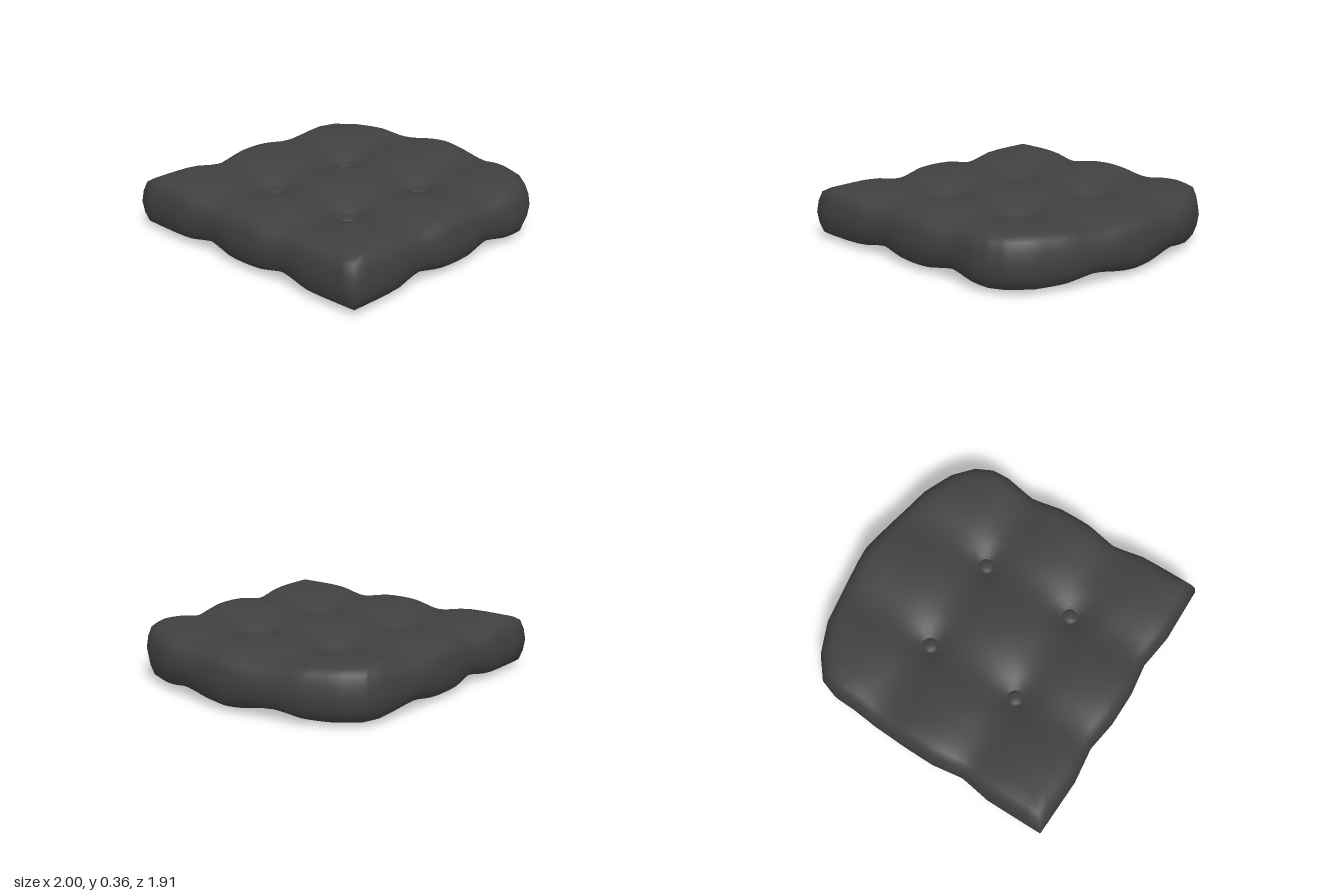
import * as THREE from 'three';

const MID = 0.18;                       // height of the widest line of the cushion
const CENTRE = [-0.05, 0];
const BUTTON_X = [-0.4, 0.25], BUTTON_Z = [-0.33, 0.33];

// Plan outline: straight back edge with square corners, bowed opposite edge, pinched at the tufting lines
const OUTLINE = [
  [-0.99, -0.955], [-0.6, -0.96], [-0.39, -0.93], [-0.18, -0.96], [0.05, -0.96], [0.26, -0.955],
  [0.45, -0.935], [0.59, -0.93], [0.71, -0.89], [0.82, -0.76], [0.91, -0.56], [0.96, -0.3], [0.99, -0.1],
  [1, 0], [0.988, 0.1], [0.96, 0.3], [0.91, 0.55], [0.82, 0.76], [0.71, 0.89], [0.6, 0.945], [0.48, 0.955],
  [0.26, 0.925], [0.05, 0.955], [-0.18, 0.955], [-0.39, 0.925], [-0.6, 0.955], [-0.99, 0.955],
  [-1, 0.57], [-0.97, 0.33], [-1, 0.12], [-1, -0.12], [-0.97, -0.33], [-1, -0.57],
];

// Rolled edge: [scale of outline, share of half thickness]
const EDGE = [[0.99, 0.42], [0.97, 0.76], [0.93, 0.9], [0.89, 0.96], [0.85, 0.98], [0.8, 1], [0.76, 1]];

const bump = (t, w) => Math.exp(-((t / w) ** 2));

// Half thickness, lowered along the tufting lines and around each button
function halfThickness(x, z, onTop) {
  let h = 0.18;
  for (const bx of BUTTON_X) h -= 0.04 * bump(x - bx, 0.17);
  for (const bz of BUTTON_Z) h -= 0.04 * bump(z - bz, 0.17);
  if (onTop) {
    for (const bx of BUTTON_X) for (const bz of BUTTON_Z) h -= 0.04 * bump(Math.hypot(x - bx, z - bz), 0.1);
  }
  return h;
}

function subdivide(points, n) {
  return points.flatMap(([x, z], i) => {
    const [x2, z2] = points[(i + 1) % points.length];
    return Array.from({ length: n }, (_, k) => [x + (x2 - x) * k / n, z + (z2 - z) * k / n]);
  });
}

// Hollow shell: rings run from the opening underneath, round the edge, to the middle of the top
function cushionGeometry() {
  const outline = subdivide(OUTLINE, 4), n = outline.length;
  const rings = [
    ...EDGE.map(([s, e]) => [s, -e]).reverse(),
    [1, 0],
    ...EDGE,
  ];
  for (let k = 1; k <= 22; k++) rings.push([0.76 * (1 - k / 22), 1]);

  const positions = [], index = [];
  rings.forEach(([s, e], i) => {
    outline.forEach(([ox, oz], j) => {
      const x = CENTRE[0] + (ox - CENTRE[0]) * s;
      const z = CENTRE[1] + (oz - CENTRE[1]) * s;
      positions.push(x, MID + e * halfThickness(x, z, e > 0), z);
      if (i < rings.length - 1) {
        const a = i * n + j, b = i * n + (j + 1) % n;
        index.push(a, a + n, b);
        if (i < rings.length - 2) index.push(b, a + n, b + n);
      }
    });
  });
  // Close the middle on one shared vertex so its shading stays smooth
  const last = (rings.length - 1) * n;
  const shared = index.map((v) => (v >= last ? last : v));

  const geometry = new THREE.BufferGeometry();
  geometry.setAttribute('position', new THREE.Float32BufferAttribute(positions, 3));
  geometry.setIndex(shared);
  geometry.computeVertexNormals();
  return geometry;
}

export function createModel() {
  const model = new THREE.Group();
  model.name = 'tuftedSeatCushion';
  const fabric = new THREE.MeshStandardMaterial({ color: 0x404040, side: THREE.DoubleSide });

  const cushion = new THREE.Mesh(cushionGeometry(), fabric);
  cushion.name = 'cushionCover';
  model.add(cushion);

  // Tufting buttons, showing through on the underside of the top
  const buttonGeometry = new THREE.SphereGeometry(0.055, 12, 8);
  buttonGeometry.scale(1, 0.5, 1);
  const buttonMaterial = new THREE.MeshStandardMaterial({ color: 0x404040 });
  for (const x of BUTTON_X) {
    for (const z of BUTTON_Z) {
      const button = new THREE.Mesh(buttonGeometry, buttonMaterial);
      button.name = 'button';
      button.position.set(x, 0.245, z);
      model.add(button);
    }
  }
  return model;
}
